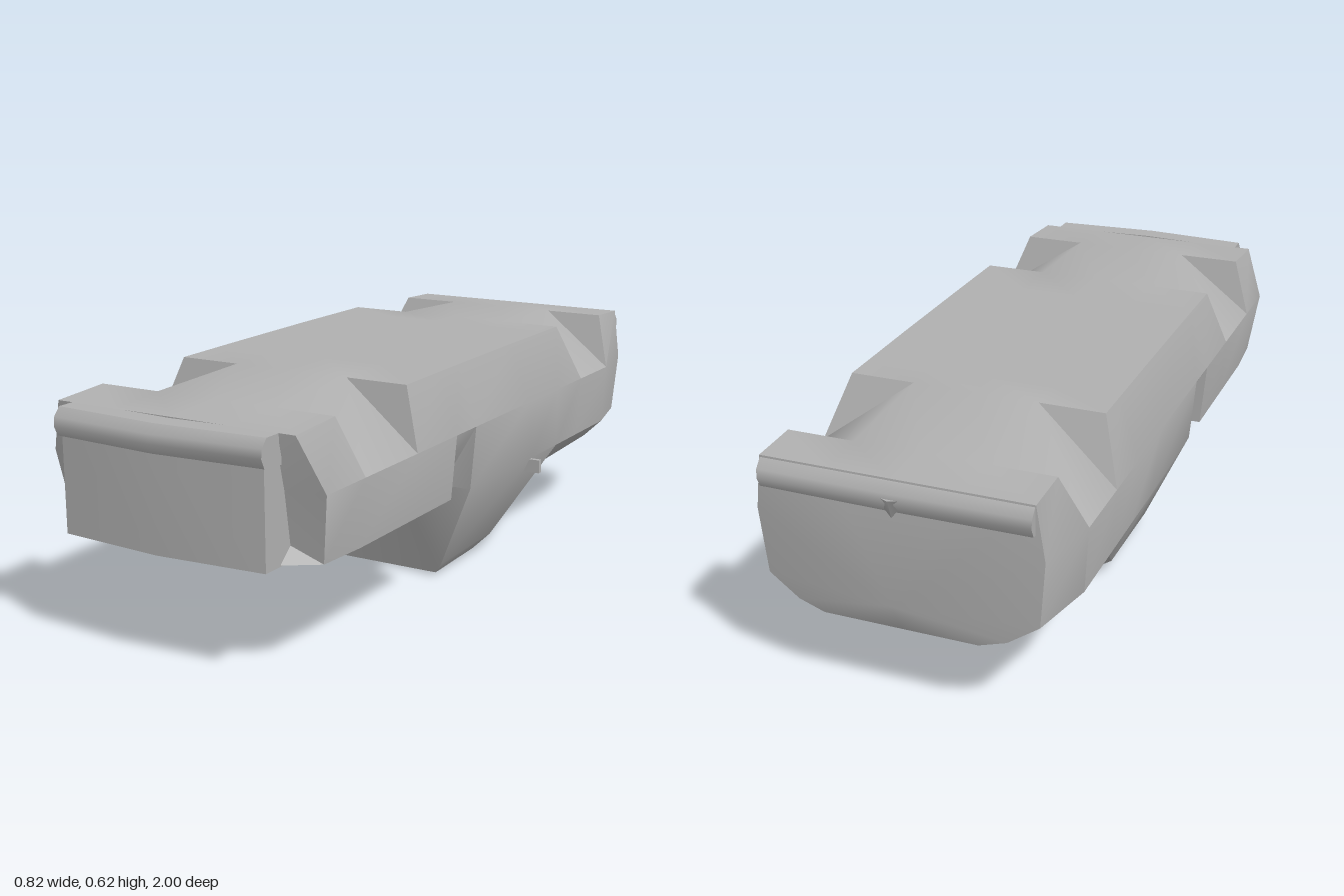
import * as THREE from 'three';
import { toCreasedNormals } from 'three/addons/utils/BufferGeometryUtils.js';

const grey = new THREE.MeshStandardMaterial({ color: 0xb0b0b0 });
grey.name = 'plain grey';

// Skin a row of closed rings of [x, y, z] points; each end closes to a centre point
function loft(rings, startCentre, endCentre, crease) {
  const pos = [];
  const v = (p) => new THREE.Vector3(...p);
  const tri = (a, b, c) => {
    const area = v(b).sub(v(a)).cross(v(c).sub(v(a))).length();
    if (area > 1e-7) pos.push(...a, ...b, ...c);
  };
  const n = rings[0].length;
  const last = rings.length - 1;
  for (let j = 0; j < n; j++) {
    const k = (j + 1) % n;
    for (let i = 0; i < last; i++) {
      const [r, s] = [rings[i], rings[i + 1]];
      tri(r[j], r[k], s[j]);
      tri(r[k], s[k], s[j]);
    }
    tri(startCentre, rings[0][k], rings[0][j]);
    tri(endCentre, rings[last][j], rings[last][k]);
  }
  const g = new THREE.BufferGeometry();
  g.setAttribute('position', new THREE.Float32BufferAttribute(pos, 3));
  return toCreasedNormals(g, crease);
}

function mesh(geometry, name, parent) {
  const m = new THREE.Mesh(geometry, grey);
  m.name = name;
  parent.add(m);
  return m;
}

// Mirrored body ring: flat underside on top, flanks, then hood / cabin / boot below.
// cut = true drops the outer edge to form the ramp of a wheel well.
function section(z, yTop, zSide, lower, { cut = false, xSide = 0.4, ySide = 0.46 } = {}) {
  const side = [xSide, ySide, zSide];
  const f = lower[2];
  const half = [
    [0, yTop, z], [0.17, yTop, z], cut ? side : [0.345, yTop, z], side,
    ...lower, [0, f[1], f[2]],
  ];
  const left = half.slice(1, -1).reverse().map(([x, y, zz]) => [-x, y, zz]);
  return [...half, ...left];
}

const hood = (z, zSide, xEdge = 0.385) =>
  [[xEdge, 0.285, zSide], [0.28, 0.285, z], [0.15, 0.285, z]];
const boot = (z, zSide, y) =>
  [[0.39, 0.285, zSide], [0.31, y + 0.015, z], [0.24, y, z]];

function bodyGeometry() {
  const cut = { cut: true };
  const rings = [
    // nose and front wheel wells
    section(0.91, 0.6, 0.87, [[0.375, 0.285, 0.845], [0.28, 0.285, 0.91], [0.15, 0.285, 0.91]]),
    section(0.745, 0.61, 0.70, hood(0.745, 0.70)),
    section(0.745, 0.61, 0.70, hood(0.745, 0.70), cut),
    section(0.41, 0.62, 0.45, hood(0.41, 0.45), cut),
    section(0.41, 0.62, 0.45, hood(0.41, 0.45)),
    // notch between wing and cabin
    section(0.24, 0.622, 0.24, hood(0.24, 0.24)),
    section(0.24, 0.622, 0.24, hood(0.24, 0.24, 0.3)),
    section(0.13, 0.623, 0.13, hood(0.13, 0.13, 0.3)),
    // cabin
    section(0.13, 0.623, 0.13, [[0.385, 0.285, 0.13], [0.275, 0.04, 0.085], [0.24, 0, 0.05]]),
    section(-0.18, 0.625, -0.2, [[0.39, 0.285, -0.25], [0.275, 0.045, -0.22], [0.24, 0.006, -0.18]]),
    section(-0.4, 0.625, -0.4, boot(-0.4, -0.42, 0.19)),
    // rear wheel wells and tail
    section(-0.5, 0.625, -0.57, boot(-0.5, -0.57, 0.19)),
    section(-0.5, 0.625, -0.57, boot(-0.5, -0.57, 0.19), cut),
    section(-0.83, 0.61, -0.77, boot(-0.83, -0.77, 0.2), cut),
    section(-0.83, 0.61, -0.77, boot(-0.83, -0.77, 0.2)),
    section(-0.965, 0.605, -0.96,
      [[0.35, 0.285, -0.955], [0.27, 0.23, -0.96], [0.2, 0.21, -0.965]], { xSide: 0.365 }),
  ];
  return loft(rings, [0, 0.45, 0.91], [0, 0.29, -1], 0.65);
}

// Rounded bumper bar, bowed forward in the middle
function bumperGeometry(halfWidth, zMid, bow) {
  const profile = [[0.6, -0.08], [0.6, -0.022], [0.578, -0.003], [0.555, 0], [0.53, -0.012], [0.525, -0.08]];
  const ring = (x, z) => profile.map(([y, dz]) => [x, y, z + dz]);
  const zEnd = zMid - bow;
  return loft(
    [ring(-halfWidth, zEnd), ring(0, zMid), ring(halfWidth, zEnd)],
    [-halfWidth, 0.56, zEnd - 0.05], [halfWidth, 0.56, zEnd - 0.05], 0.65);
}

export function createModel() {
  const model = new THREE.Group();
  model.name = 'overturnedCarBody';
  const car = new THREE.Group();
  car.name = 'carBody';
  car.position.x = -0.01;
  model.add(car);

  mesh(bodyGeometry(), 'shell', car);

  // Upright front panel with a shallow V plan
  const plan = new THREE.Shape([[-0.293, 0.8], [0.293, 0.8], [0.293, 0.96], [0, 0.982], [-0.293, 0.96]]
    .map(([x, z]) => new THREE.Vector2(x, z)));
  const panel = new THREE.ExtrudeGeometry(plan, { depth: 0.265, bevelEnabled: false });
  panel.rotateX(Math.PI / 2).translate(0, 0.547, 0);
  mesh(toCreasedNormals(panel, 0.65), 'frontPanel', car);

  mesh(bumperGeometry(0.3, 1, 0.02), 'frontBumper', car);
  mesh(bumperGeometry(0.343, 0.992, 0.004), 'rearBumper', car).rotation.y = Math.PI;

  // Small catch under the rear bumper
  const latch = mesh(new THREE.ConeGeometry(0.04, 0.05, 4), 'rearLatch', car);
  latch.scale.z = 0.4;
  latch.rotation.x = Math.PI;
  latch.position.set(0, 0.54, -0.983);

  // Single door mirror
  const mirror = mesh(new THREE.BoxGeometry(0.052, 0.038, 0.014), 'doorMirror', model);
  mirror.position.set(0.384, 0.265, -0.242);

  return model;
}
